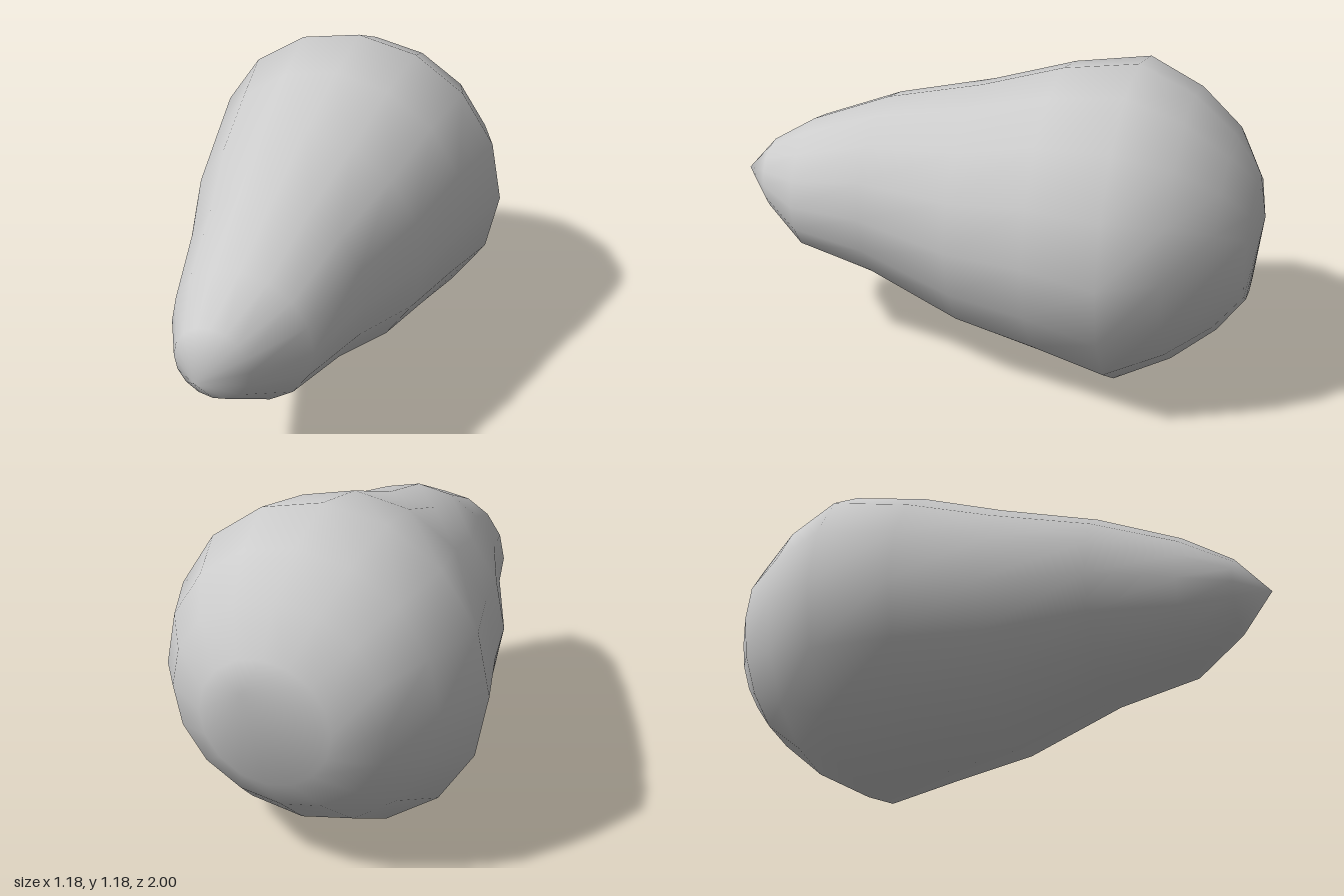
import * as THREE from 'three';

const SIDES = 16;

// Cross-sections from back to front: z, right x, left x, bottom y, top y
const SECTIONS = [
  [-0.96, -0.23, 0.24, 0.36, 0.8],
  [-0.87, -0.39, 0.39, 0.24, 0.96],
  [-0.72, -0.5, 0.5, 0.11, 1.09],
  [-0.52, -0.595, 0.59, 0.0, 1.18],
  [-0.25, -0.52, 0.53, 0.06, 1.14],
  [0.05, -0.45, 0.46, 0.12, 1.045],
  [0.4, -0.31, 0.37, 0.27, 0.97],
  [0.7, -0.225, 0.29, 0.34, 0.85],
  [0.88, -0.13, 0.14, 0.46, 0.735],
];
const BACK_TIP = [0.06, 0.69, -1];
const FRONT_TIP = [0, 0.6, 1];

// Lofts elliptical rings and closes both ends with a fan to a tip
function loft(sections, backTip, frontTip) {
  const positions = [];
  const index = [];
  for (const [z, x0, x1, y0, y1] of sections) {
    for (let j = 0; j < SIDES; j++) {
      const a = (j / SIDES) * Math.PI * 2;
      positions.push(
        (x0 + x1) / 2 + ((x1 - x0) / 2) * Math.cos(a),
        (y0 + y1) / 2 + ((y1 - y0) / 2) * Math.sin(a),
        z
      );
    }
  }
  const last = (sections.length - 1) * SIDES;
  const back = sections.length * SIDES;
  const front = back + 1;
  positions.push(...backTip, ...frontTip);

  for (let j = 0; j < SIDES; j++) {
    const k = (j + 1) % SIDES;
    for (let r = 0; r < last; r += SIDES) {
      const n = r + SIDES;
      index.push(r + j, r + k, n + j, r + k, n + k, n + j);
    }
    index.push(back, k, j);
    index.push(front, last + j, last + k);
  }

  const geometry = new THREE.BufferGeometry();
  geometry.setAttribute('position', new THREE.Float32BufferAttribute(positions, 3));
  geometry.setIndex(index);
  geometry.computeVertexNormals();
  return geometry;
}

export function createModel() {
  const model = new THREE.Group();
  model.name = 'pearShapedRock';

  // Round bulb at the back tapering to a snout at the front
  const body = new THREE.Mesh(
    loft(SECTIONS, BACK_TIP, FRONT_TIP),
    new THREE.MeshStandardMaterial({ color: 0xcccccc })
  );
  body.name = 'body';
  model.add(body);
  return model;
}
